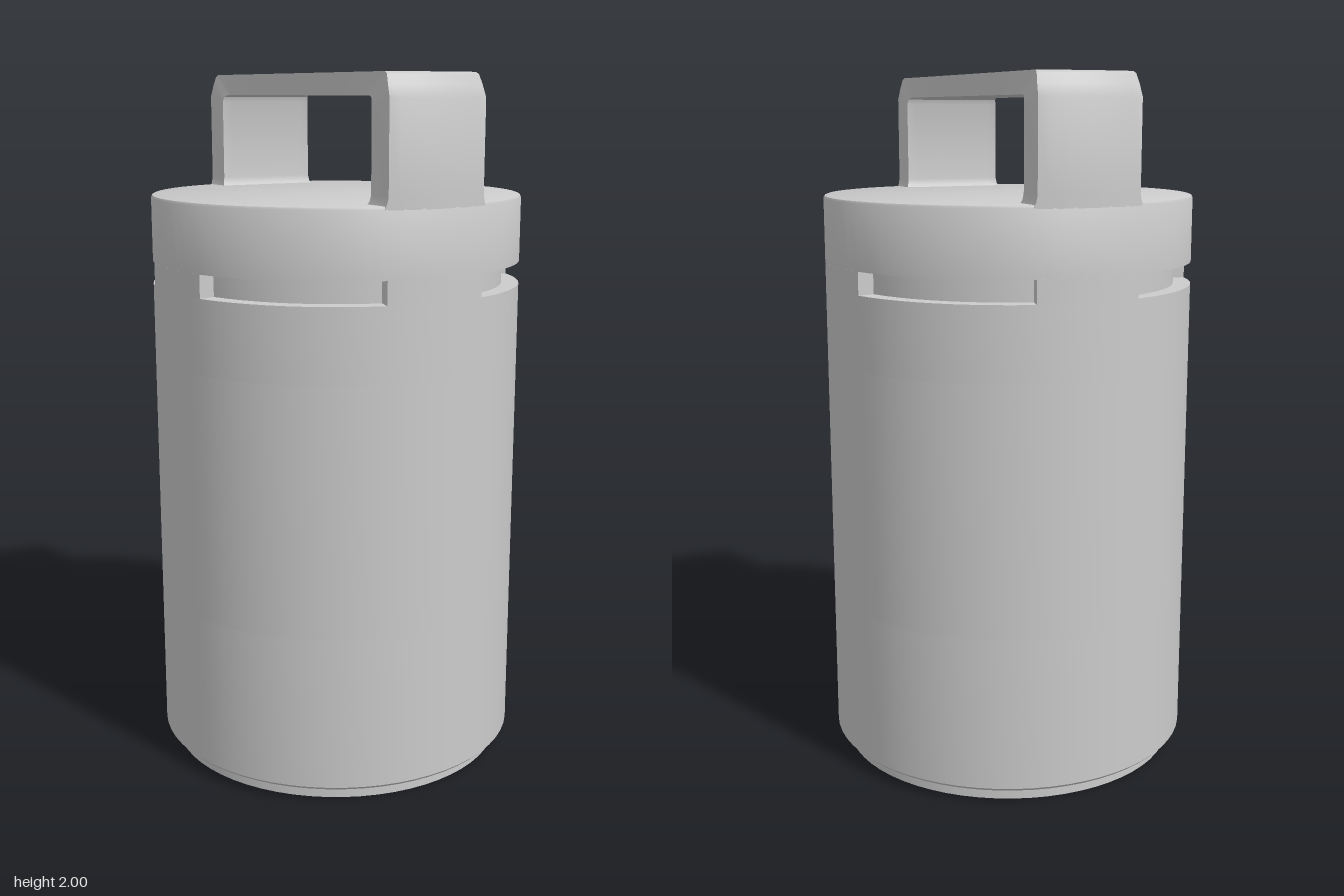
import * as THREE from 'three';
import { toCreasedNormals } from 'three/addons/utils/BufferGeometryUtils.js';

const R = 0.535, CORE = 0.485, SEG = 64;
const SLOT_LOW = 1.41, SLOT_HIGH = 1.475, TOP = 1.665;
const grey = new THREE.MeshStandardMaterial({ color: 0xcccccc });
const paleGrey = new THREE.MeshStandardMaterial({ color: 0xd8d8d8 });

function addMesh(parent, name, geometry, material = grey) {
  const mesh = new THREE.Mesh(toCreasedNormals(geometry, 0.5), material);
  mesh.name = name;
  parent.add(mesh);
  return mesh;
}

function turned(profile) {
  return new THREE.LatheGeometry(profile.map(([r, y]) => new THREE.Vector2(r, y)), SEG);
}

// Solid piece of the slotted layer, centred on the given angle
function slotBridge(angle) {
  const half = 0.285;
  const shape = new THREE.Shape();
  shape.absarc(0, 0, R, angle - half, angle + half, false);
  shape.absarc(0, 0, CORE - 0.01, angle + half, angle - half, true);
  const geo = new THREE.ExtrudeGeometry(shape, {
    depth: SLOT_HIGH - SLOT_LOW, bevelEnabled: false, curveSegments: 8,
  });
  return geo.rotateX(-Math.PI / 2).translate(0, SLOT_LOW, 0);
}

// Arched handle: rings lofted from one foot over to the other.
// Outer faces of the legs follow the round body.
function handleGeometry() {
  // inner z, inner y, outer z, outer y, half width
  const half = [
    [0.415, 1.655, 0.535, 1.655, 0.16],
    [0.427, 1.672, 0.535, 1.672, 0.153],
    [0.43, 1.69, 0.535, 1.69, 0.15],
    [0.43, 1.92, 0.535, 1.935, 0.15],
    [0.425, 1.934, 0.521, 1.968, 0.147],
    [0.41, 1.94, 0.508, 1.994, 0.143],
    [0.39, 1.94, 0.495, 2, 0.141],
    [0.25, 1.94, 0.25, 2, 0.138],
    [0, 1.94, 0, 2, 0.137],
  ];
  const mirrored = half.slice(0, -1).reverse()
    .map(([zi, yi, zo, yo, w]) => [-zi, yi, -zo, yo, w]);
  const stations = [...half, ...mirrored];
  const steps = 10, ring = 2 * (steps + 1);
  const positions = [], index = [];
  for (const [zi, yi, zo, yo, w] of stations) {
    for (let i = 0; i <= steps; i++) {
      const x = w * (2 * i / steps - 1);
      positions.push(x, yo, zo * Math.sqrt(1 - (x / R) ** 2));
    }
    for (let i = 0; i <= steps; i++) positions.push(w * (1 - 2 * i / steps), yi, zi);
  }
  for (let j = 0; j < stations.length - 1; j++) {
    for (let i = 0; i < ring; i++) {
      const a = j * ring + i, b = j * ring + (i + 1) % ring;
      index.push(a, b, a + ring, b, b + ring, a + ring);
    }
  }
  const geo = new THREE.BufferGeometry();
  geo.setAttribute('position', new THREE.Float32BufferAttribute(positions, 3));
  geo.setIndex(index);
  return geo;
}

export function createModel() {
  const model = new THREE.Group();
  model.name = 'canister';

  // Foot and the three bands of the body
  addMesh(model, 'baseDisc', turned([[0, 0], [0.5, 0], [0.5, 0.045]]));
  addMesh(model, 'lowerBand', turned([[0, 0.038], [0.525, 0.038], [R, 0.048], [R, 0.49]]));
  addMesh(model, 'middleBand', turned([[R, 0.49], [R, 1.2]]), paleGrey);
  addMesh(model, 'upperBand', turned([[R, 1.2], [R, SLOT_LOW], [CORE - 0.01, SLOT_LOW]]));

  // Layer with four slots between the bridges
  const slots = new THREE.Group();
  slots.name = 'slottedLayer';
  model.add(slots);
  addMesh(slots, 'slotCore', turned([[CORE, SLOT_LOW], [CORE, SLOT_HIGH]]));
  for (let i = 0; i < 4; i++) addMesh(slots, 'slotBridge', slotBridge(i * Math.PI / 2));

  // Lid and carrying handle
  addMesh(model, 'lid', turned([
    [CORE - 0.01, SLOT_HIGH], [R, SLOT_HIGH], [R, TOP - 0.008],
    [R - 0.003, TOP - 0.002], [R - 0.008, TOP], [0, TOP],
  ]));
  addMesh(model, 'handle', handleGeometry());

  return model;
}
